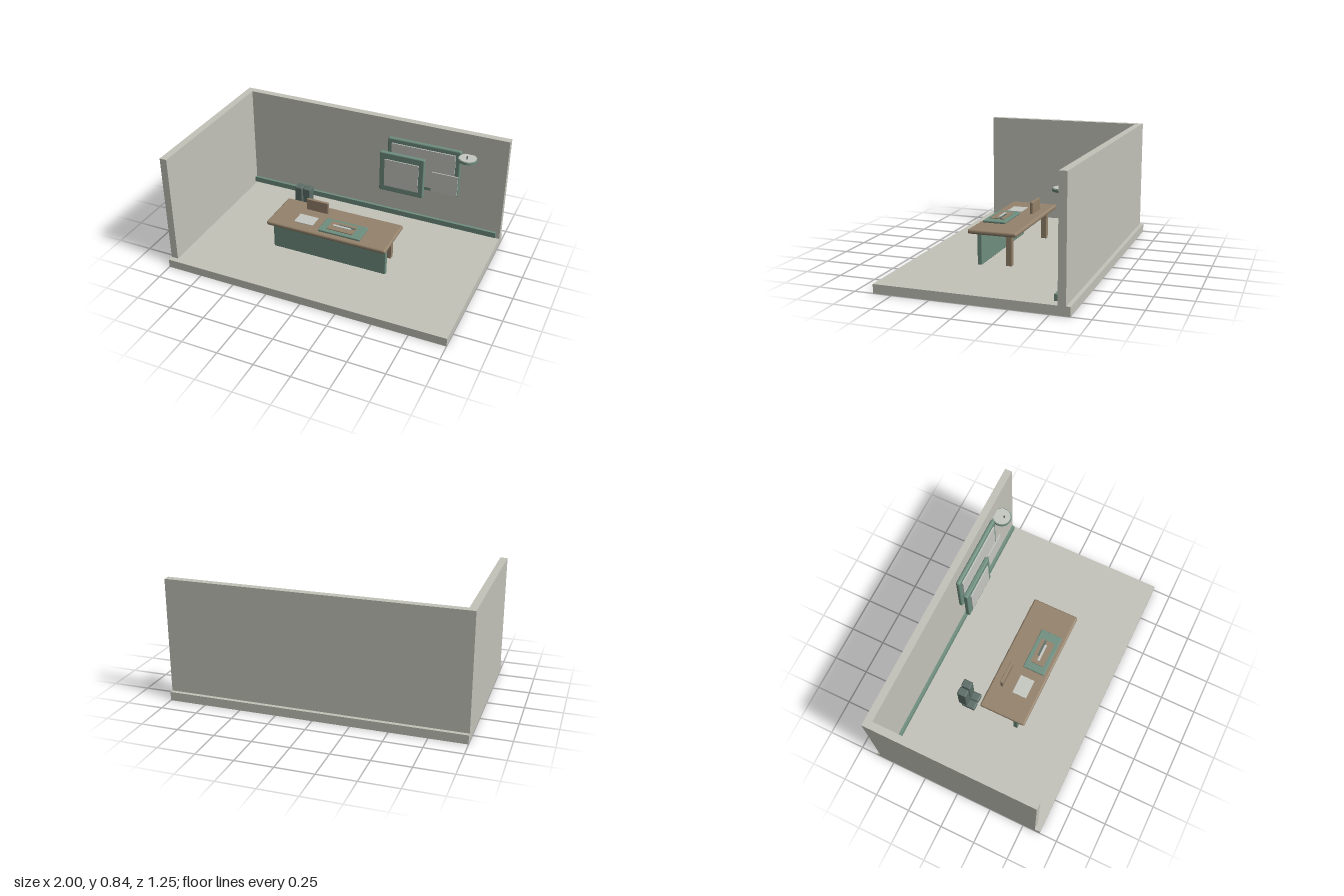
import * as THREE from 'three';
import { RoundedBoxGeometry } from 'three/addons/geometries/RoundedBoxGeometry.js';

const mat = (name, color) => {
  const m = new THREE.MeshStandardMaterial({ color });
  m.name = name;
  return m;
};

export function createModel() {
  const plaster = mat('plaster', 0xc3c3ba);
  const green = mat('sage green', 0x6f8f80);
  const wood = mat('wood', 0x95836c);
  const dark = mat('dark green', 0x5c6d67);
  const paper = mat('paper', 0xc6c8c2);

  const model = new THREE.Group();

  // Box given by its min and max on each axis; r > 0 rounds the edges
  const box = (name, material, [x0, x1], [y0, y1], [z0, z1], r = 0, parent = model) => {
    const size = [x1 - x0, y1 - y0, z1 - z0];
    const geo = r ? new RoundedBoxGeometry(...size, 3, r) : new THREE.BoxGeometry(...size);
    const mesh = new THREE.Mesh(geo, material);
    mesh.name = name;
    mesh.position.set((x0 + x1) / 2, (y0 + y1) / 2, (z0 + z1) / 2);
    parent.add(mesh);
    return mesh;
  };
  const group = (name) => {
    const g = new THREE.Group();
    g.name = name;
    model.add(g);
    return g;
  };
  const cylinder = (name, material, r, [y0, y1], x, z, parent) => {
    const mesh = new THREE.Mesh(new THREE.CylinderGeometry(r, r, y1 - y0, 32), material);
    mesh.name = name;
    mesh.position.set(x, (y0 + y1) / 2, z);
    parent.add(mesh);
  };

  // Room shell
  box('floor', plaster, [-1, 1], [0, 0.06], [-0.625, 0.625]);
  box('backWall', plaster, [-1, 1], [0.06, 0.836], [-0.598, -0.548]);
  box('sideWall', plaster, [-1, -0.95], [0.06, 0.836], [-0.548, 0.588]);
  box('wallRail', green, [-0.95, 0.975], [0.077, 0.117], [-0.54, -0.52]);

  // Desk
  const desk = group('desk');
  box('deskTop', wood, [-0.438, 0.435], [0.266, 0.297], [-0.098, 0.238], 0.013, desk);
  box('frontPanel', green, [-0.418, 0.416], [0.06, 0.268], [0.145, 0.176], 0.005, desk);
  for (const s of [-1, 1]) {
    box('rearLeg', wood, [s * 0.365 - 0.019, s * 0.365 + 0.019], [0.06, 0.268], [-0.048, -0.01], 0, desk);
  }

  // Things on the desk
  box('uprightCard', wood, [-0.253, -0.09], [0.295, 0.38], [-0.032, -0.012], 0.003);
  box('paperSheet', paper, [-0.262, -0.124], [0.297, 0.301], [0.064, 0.166]);
  const tray = group('tray');
  box('trayBase', green, [-0.065, 0.24], [0.298, 0.313], [0.05, 0.208], 0.005, tray);
  box('trayInlay', wood, [-0.012, 0.175], [0.313, 0.318], [0.08, 0.178], 0, tray);
  box('darkStrip', dark, [0.05, 0.17], [0.318, 0.321], [0.106, 0.119], 0, tray);
  box('lightStrip', paper, [0.014, 0.142], [0.318, 0.322], [0.12, 0.136], 0, tray);

  // Pair of tall boots
  for (const x of [-0.4125, -0.35]) {
    const boot = group('boot');
    box('bootShaft', dark, [x - 0.028, x + 0.028], [0.118, 0.327], [-0.27, -0.203], 0.008, boot);
    box('bootFoot', dark, [x - 0.031, x + 0.031], [0.082, 0.12], [-0.25, -0.147], 0.012, boot);
  }

  // Large wall board, smaller board in front, loose sheet
  const largeBoard = group('largeBoard');
  box('largeFrame', green, [0.142, 0.681], [0.341, 0.704], [-0.55, -0.52], 0.012, largeBoard);
  box('largePanel', paper, [0.175, 0.646], [0.373, 0.668], [-0.52, -0.511], 0, largeBoard);
  const smallBoard = group('smallBoard');
  box('smallFrame', green, [0.112, 0.443], [0.309, 0.617], [-0.482, -0.45], 0.008, smallBoard);
  box('smallPanel', paper, [0.152, 0.405], [0.355, 0.568], [-0.45, -0.442], 0, smallBoard);
  box('hangingSheet', paper, [0.49, 0.681], [0.368, 0.521], [-0.492, -0.484]);

  // Round dial shelf with pin
  const dial = group('dial');
  cylinder('dialBody', green, 0.066, [0.664, 0.679], 0.735, -0.497, dial);
  cylinder('dialFace', paper, 0.06, [0.679, 0.684], 0.735, -0.497, dial);
  cylinder('dialPin', dark, 0.004, [0.684, 0.706], 0.735, -0.478, dial);

  return model;
}
